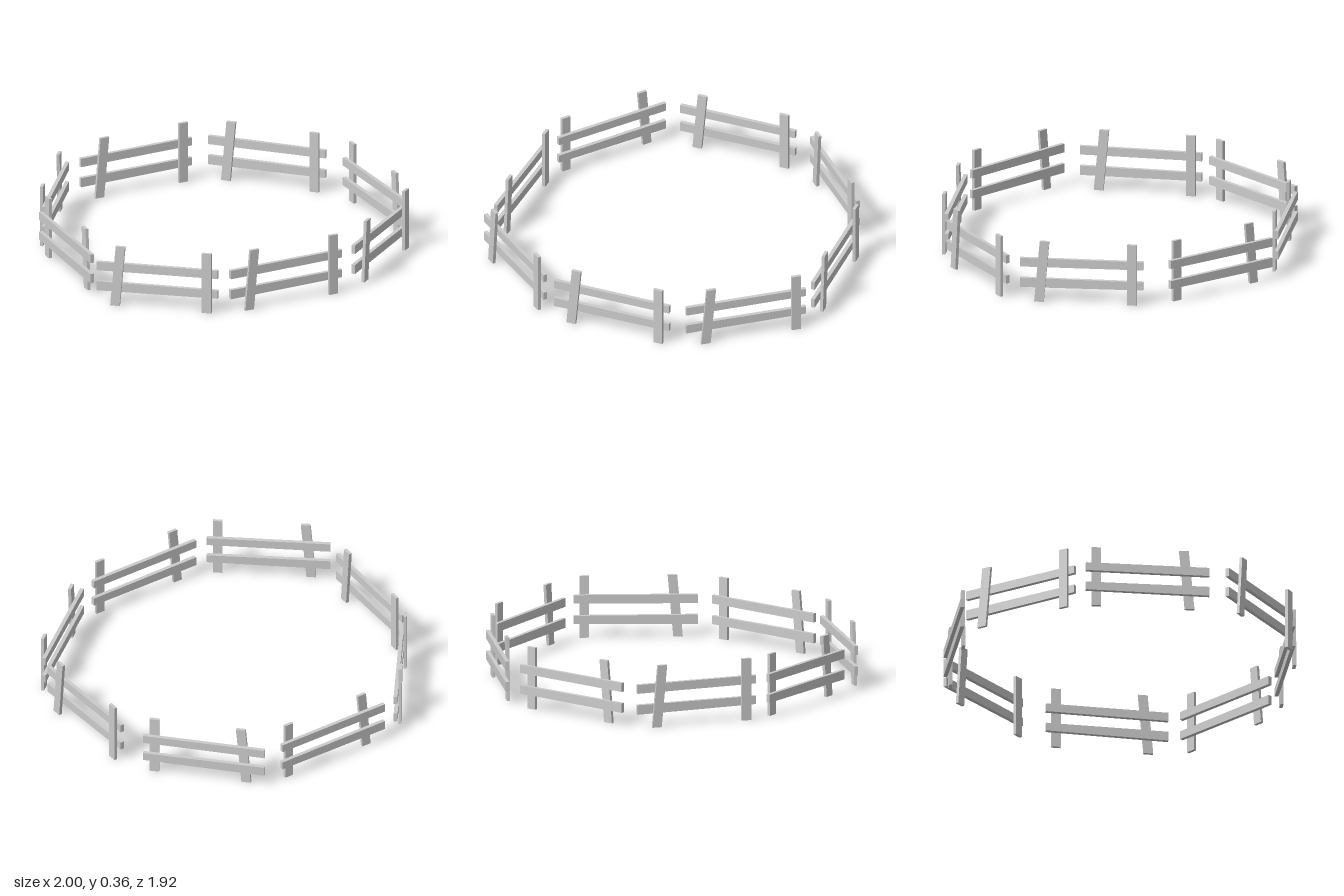
import * as THREE from 'three';

const material = new THREE.MeshStandardMaterial({ color: 0xcccccc, flatShading: true });

// Flat board: outline in the panel plane, thickness from z0 to z1
function board(name, corners, z0, z1) {
  const shape = new THREE.Shape(corners.map(([x, y]) => new THREE.Vector2(x, y)));
  const geometry = new THREE.ExtrudeGeometry(shape, { depth: z1 - z0, bevelEnabled: false });
  geometry.translate(0, 0, z0);
  const mesh = new THREE.Mesh(geometry, material);
  mesh.name = name;
  return mesh;
}

// Rough-cut rail, slightly deeper at its left end
function rail(name, leftLow, leftHigh, rightLow, rightHigh) {
  return board(name, [[-0.35, leftLow], [0.35, rightLow], [0.35, rightHigh], [-0.35, leftHigh]], -0.011, 0.011);
}

// Post nailed to the face of the rails; lean moves its top sideways
function post(name, x, lean) {
  const h = 0.027, top = 0.36;
  return board(name, [[x - h, 0], [x + h, 0], [x + h + lean, top], [x - h + lean, top]], 0.011, 0.029);
}

function fencePanel(name) {
  const panel = new THREE.Group();
  panel.name = name;
  panel.add(
    rail('upperRail', 0.2, 0.251, 0.206, 0.254),
    rail('lowerRail', 0.078, 0.133, 0.086, 0.134),
    post('leaningPost', -0.24, 0.032),
    post('straightPost', 0.289, 0)
  );
  return panel;
}

export function createModel() {
  const fence = new THREE.Group();
  fence.name = 'ringFence';
  // Name, centre x, centre z, turn in degrees
  const panels = [
    ['frontPanel', -0.04, 0.928, 0],
    ['frontLeftPanel', 0.676, 0.69, 37.7],
    ['leftPanel', 0.957, 0.053, 91.8],
    ['backLeftPanel', 0.658, -0.692, -45.9],
    ['backPanel', -0.04, -0.957, 0],
    ['backRightPanel', -0.692, -0.666, -127.5],
    ['rightPanel', -0.965, 0.017, 87.8],
    ['frontRightPanel', -0.727, 0.687, -39],
  ];
  for (const [name, x, z, turn] of panels) {
    const panel = fencePanel(name);
    panel.position.set(x, 0, z);
    panel.rotation.y = THREE.MathUtils.degToRad(turn);
    fence.add(panel);
  }
  return fence;
}
